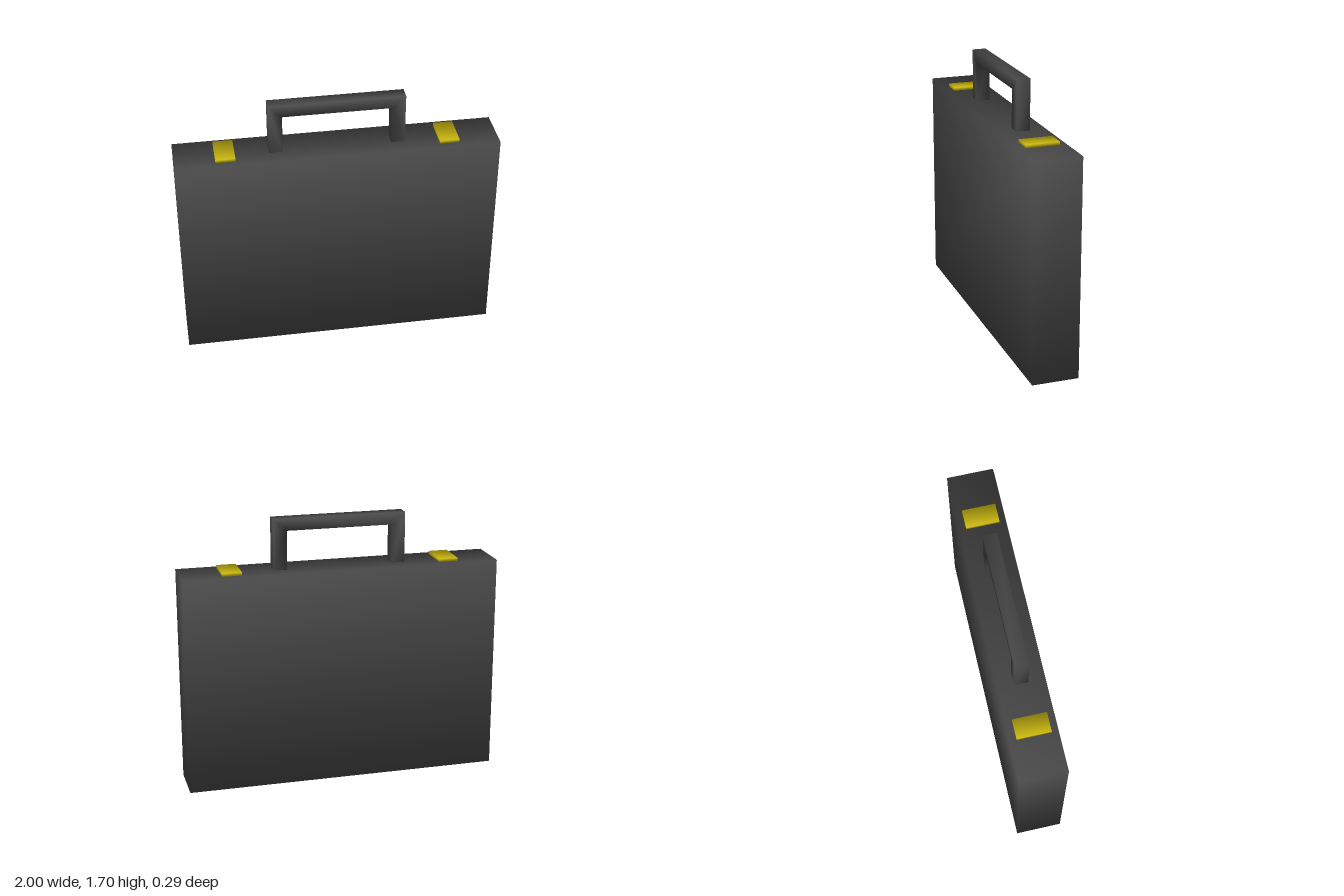
import * as THREE from 'three';
import { mergeVertices } from 'three/addons/utils/BufferGeometryUtils.js';

// Box whose normals are shared at the corners, for soft shading
function softBox(w, h, d) {
  const geo = new THREE.BoxGeometry(w, h, d);
  const p = geo.attributes.position, n = geo.attributes.normal, s = 1 / Math.sqrt(3);
  for (let i = 0; i < p.count; i++) {
    n.setXYZ(i, Math.sign(p.getX(i)) * s, Math.sign(p.getY(i)) * s, Math.sign(p.getZ(i)) * s);
  }
  return geo;
}

export function createModel() {
  const leather = new THREE.MeshStandardMaterial({ color: 0x4a4a4a });
  leather.name = 'dark grey leather';
  const brass = new THREE.MeshStandardMaterial({ color: 0xd0bc10 });
  brass.name = 'yellow brass';

  const group = new THREE.Group();
  group.name = 'briefcase';
  const add = (name, geo, mat, x, y, z) => {
    const mesh = new THREE.Mesh(geo, mat);
    mesh.name = name;
    mesh.position.set(x, y, z);
    group.add(mesh);
  };

  // Case body
  const height = 1.38;
  add('caseBody', softBox(2, height, 0.294), leather, 0, height / 2, 0);

  // Square arch handle with softened corner normals
  const arch = new THREE.Shape([
    [-0.42, 0], [-0.335, 0], [-0.335, 0.245], [0.335, 0.245],
    [0.335, 0], [0.42, 0], [0.42, 0.32], [-0.42, 0.32],
  ].map(([x, y]) => new THREE.Vector2(x, y)));
  let handle = new THREE.ExtrudeGeometry(arch, { depth: 0.086, bevelEnabled: false });
  handle.deleteAttribute('uv');
  handle.deleteAttribute('normal');
  handle = mergeVertices(handle);
  handle.computeVertexNormals();
  add('handle', handle, leather, 0, height, -0.043);

  // Pair of flat latches on the top edge
  for (const side of [1, -1]) {
    add(side > 0 ? 'leftLatch' : 'rightLatch', softBox(0.122, 0.02, 0.21), brass,
      side * 0.69, height + 0.01, 0);
  }
  return group;
}
